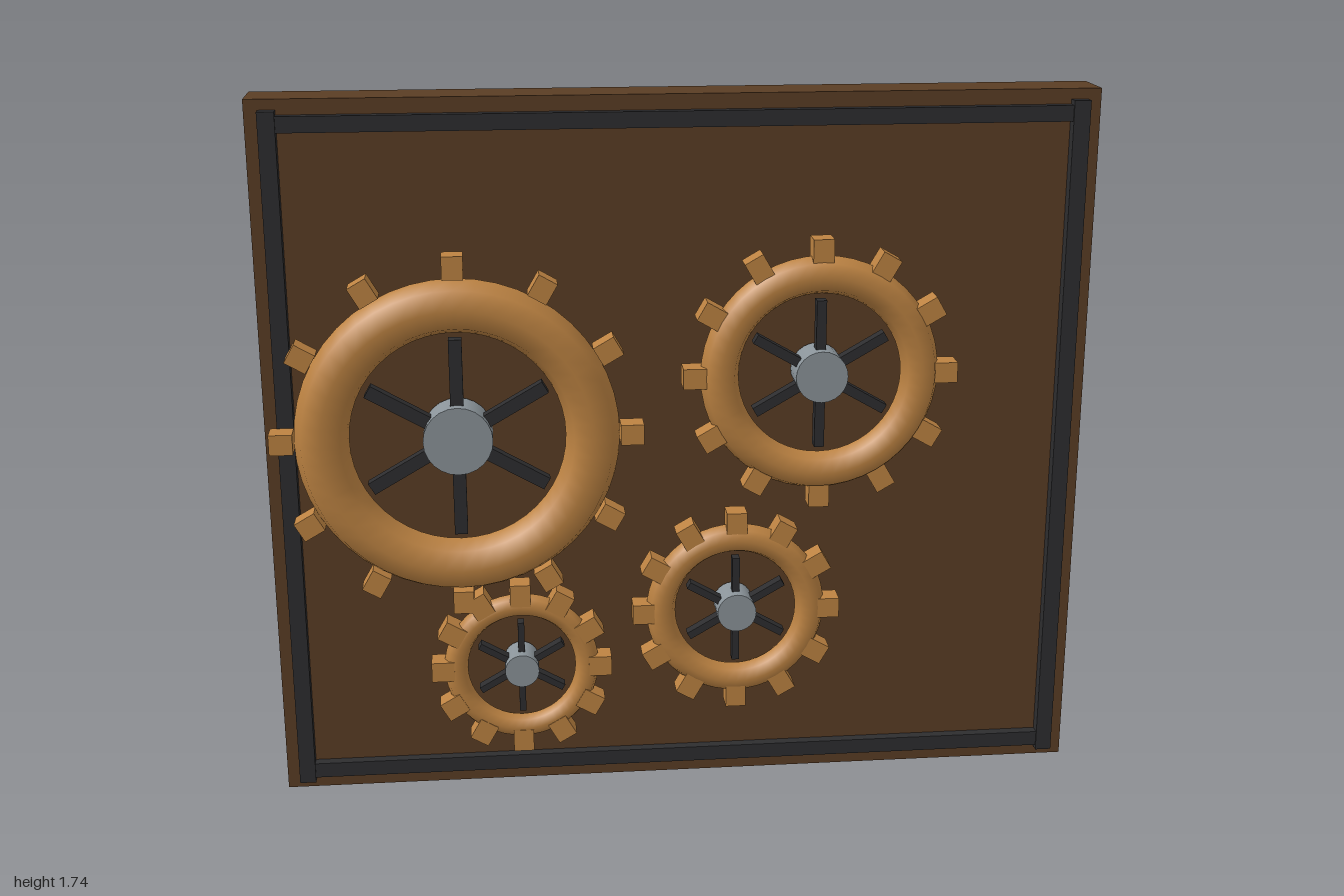
import * as THREE from 'three';

function mat(name, color) {
  const m = new THREE.MeshStandardMaterial({ color });
  m.name = name;
  return m;
}

export function createModel() {
  const wood = mat('brown wood', 0x5a3d24);
  const iron = mat('dark iron', 0x2d2d2f);
  const bronze = mat('bronze', 0xbd8342);
  const steel = mat('grey steel', 0x8b949a);
  const model = new THREE.Group();
  model.name = 'gearPanel';

  function add(parent, name, geometry, material, x = 0, y = 0, z = 0) {
    const mesh = new THREE.Mesh(geometry, material);
    mesh.name = name;
    mesh.position.set(x, y, z);
    parent.add(mesh);
    return mesh;
  }
  const box = (w, h, d) => new THREE.BoxGeometry(w, h, d);

  // Backing board and raised border
  add(model, 'board', box(2, 1.735, 0.132), wood, 0, 0.8675, -0.058);
  for (const s of [-1, 1]) {
    add(model, 'sideTrim', box(0.04, 1.685, 0.034), iron, s * 0.948, 0.8675, 0.02);
    add(model, 'crossTrim', box(1.89, 0.038, 0.03), iron, 0, 0.8675 + s * 0.812, 0.018);
  }

  // Gear: rounded rim, twelve teeth, six spokes and a hub
  const MID = 0.0635;
  function gear(name, x, y, ring, tube, tip, hub) {
    const g = new THREE.Group();
    g.name = name;
    g.position.set(x, y, MID);
    model.add(g);
    add(g, 'rim', new THREE.TorusGeometry(ring, tube, 8, 48), bronze);
    const tooth = box(0.056, 0.05, 0.057);
    for (let i = 0; i < 12; i++) {
      const a = (i * Math.PI) / 6, r = tip - 0.028;
      add(g, 'tooth', tooth, bronze, r * Math.cos(a), r * Math.sin(a)).rotation.z = a;
    }
    const spoke = box(2 * (ring - tube) - 0.03, hub * 0.38, 0.03);
    for (let i = 0; i < 3; i++) {
      add(g, 'spoke', spoke, iron).rotation.z = Math.PI / 2 + (i * Math.PI) / 3;
    }
    const axle = new THREE.CylinderGeometry(hub, hub, 0.09, 24).rotateX(Math.PI / 2);
    add(g, 'hub', axle, steel, 0, 0, -0.005);
  }
  gear('largeGear', -0.54, 0.936, 0.322, 0.065, 0.444, 0.083);
  gear('upperGear', 0.33, 1.07, 0.243, 0.046, 0.332, 0.063);
  gear('lowerGear', 0.13, 0.47, 0.186, 0.036, 0.257, 0.048);
  gear('smallGear', -0.403, 0.337, 0.162, 0.029, 0.222, 0.042);

  return model;
}
